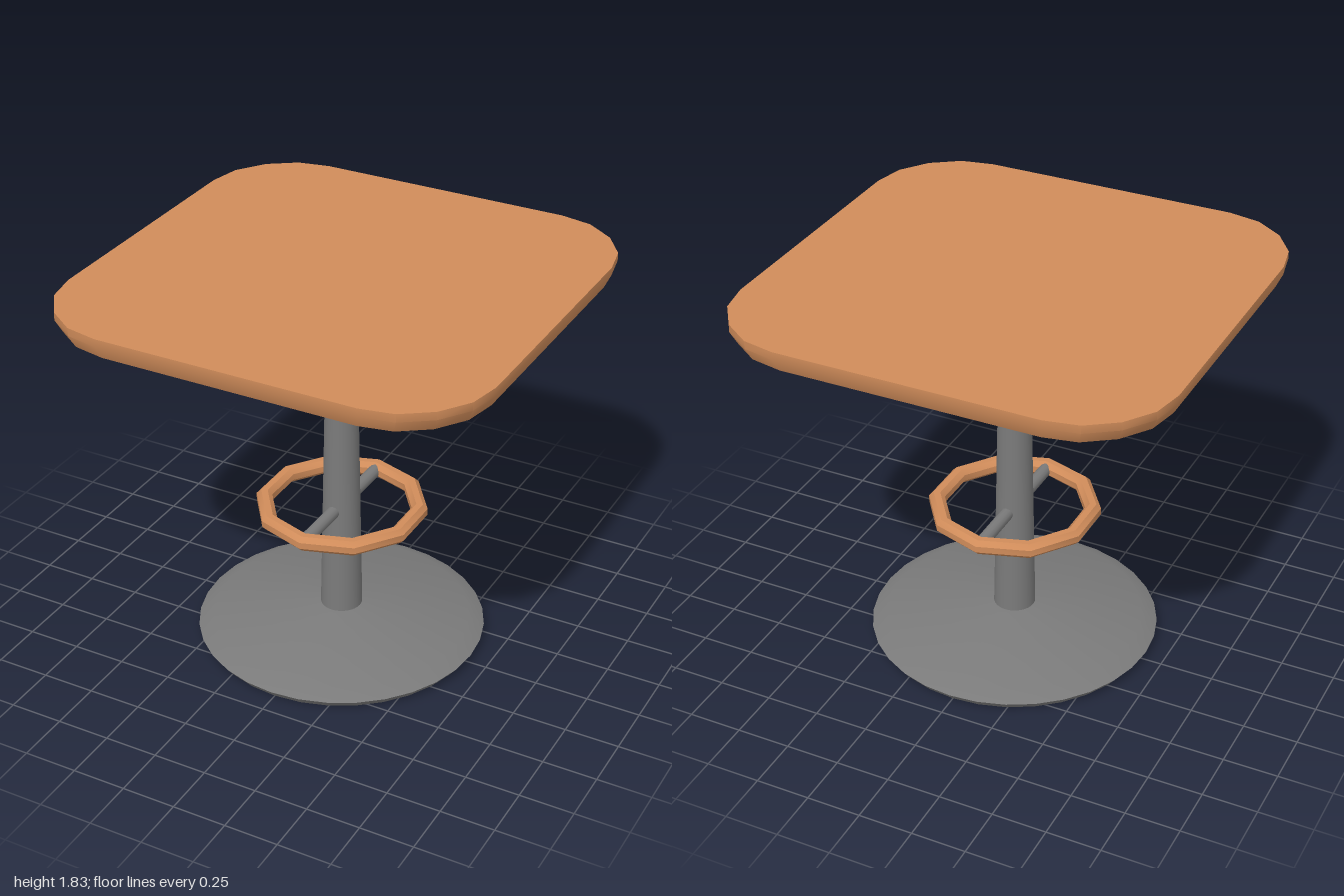
import * as THREE from 'three';
import { toCreasedNormals } from 'three/addons/utils/BufferGeometryUtils.js';

const wood = new THREE.MeshStandardMaterial({ color: 0xd08c5a });
const metal = new THREE.MeshStandardMaterial({ color: 0x7a7a7a });

function part(name, geometry, material) {
  const mesh = new THREE.Mesh(geometry, material);
  mesh.name = name;
  return mesh;
}

// Turned solid; the profile runs from the bottom, round the outside, to the top
function turned(profile, segments) {
  const points = profile.map(([r, y]) => new THREE.Vector2(r, y));
  return toCreasedNormals(new THREE.LatheGeometry(points, segments), 0.7);
}

// Rounded-square slab: one outline scaled at each level, closed above and below
function tabletopGeometry() {
  const corner = [[1, 0.6], [0.97, 0.75], [0.88, 0.88], [0.75, 0.97], [0.6, 1]];
  const outline = [];
  for (let q = 0; q < 4; q++) {
    const c = Math.round(Math.cos(q * Math.PI / 2)), s = Math.round(Math.sin(q * Math.PI / 2));
    for (const [x, z] of corner) outline.push([x * c - z * s, x * s + z * c]);
  }
  const levels = [[0, 1.717], [0.8, 1.717], [0.89, 1.719], [0.975, 1.743], [1, 1.8], [1, 1.837], [0, 1.837]];
  const n = outline.length, positions = [], index = [];
  for (const [k, y] of levels) for (const [x, z] of outline) positions.push(x * k, y, z * k);
  for (let l = 0; l < levels.length - 1; l++) {
    for (let i = 0; i < n; i++) {
      const a = l * n + i, b = l * n + (i + 1) % n, c = a + n, d = b + n;
      if (levels[l][0] > 0) index.push(a, c, b);
      if (levels[l + 1][0] > 0) index.push(b, c, d);
      else index.pop(), index.pop(), index.pop(), index.push(a, c, b);
    }
  }
  const geometry = new THREE.BufferGeometry();
  geometry.setAttribute('position', new THREE.Float32BufferAttribute(positions, 3));
  geometry.setIndex(index);
  return toCreasedNormals(geometry, 0.6);
}

export function createModel() {
  const group = new THREE.Group();
  group.name = 'pedestalTable';

  group.add(part('tabletop', tabletopGeometry(), wood));

  // Tapered column, its lower end recessed in the base
  group.add(part('column', turned([[0, 0.03], [0.1, 0.03], [0.097, 0.14], [0.068, 1.6], [0.066, 1.73]], 24), metal));

  // Dished base with a hole underneath
  group.add(part('base', turned([
    [0.098, 0.035], [0.098, 0.005], [0.64, 0.005], [0.672, 0.045], [0.6, 0.08], [0.097, 0.14],
  ], 32), metal));

  // Ten-sided foot ring with an octagonal section
  const section = [];
  for (let i = 0; i <= 8; i++) {
    const a = (i + 0.5) * Math.PI / 4;
    section.push([0.36 + 0.04 * Math.cos(a), 0.671 + 0.04 * Math.sin(a)]);
  }
  group.add(part('footRing', turned(section, 10).clone(), wood));

  // Two spokes joining the ring to the column
  for (const side of [1, -1]) {
    const spoke = part(side > 0 ? 'frontSpoke' : 'backSpoke', new THREE.CylinderGeometry(0.03, 0.03, 0.28, 12), metal);
    spoke.rotation.x = Math.PI / 2;
    spoke.position.set(0, 0.671, side * 0.2);
    group.add(spoke);
  }
  return group;
}
